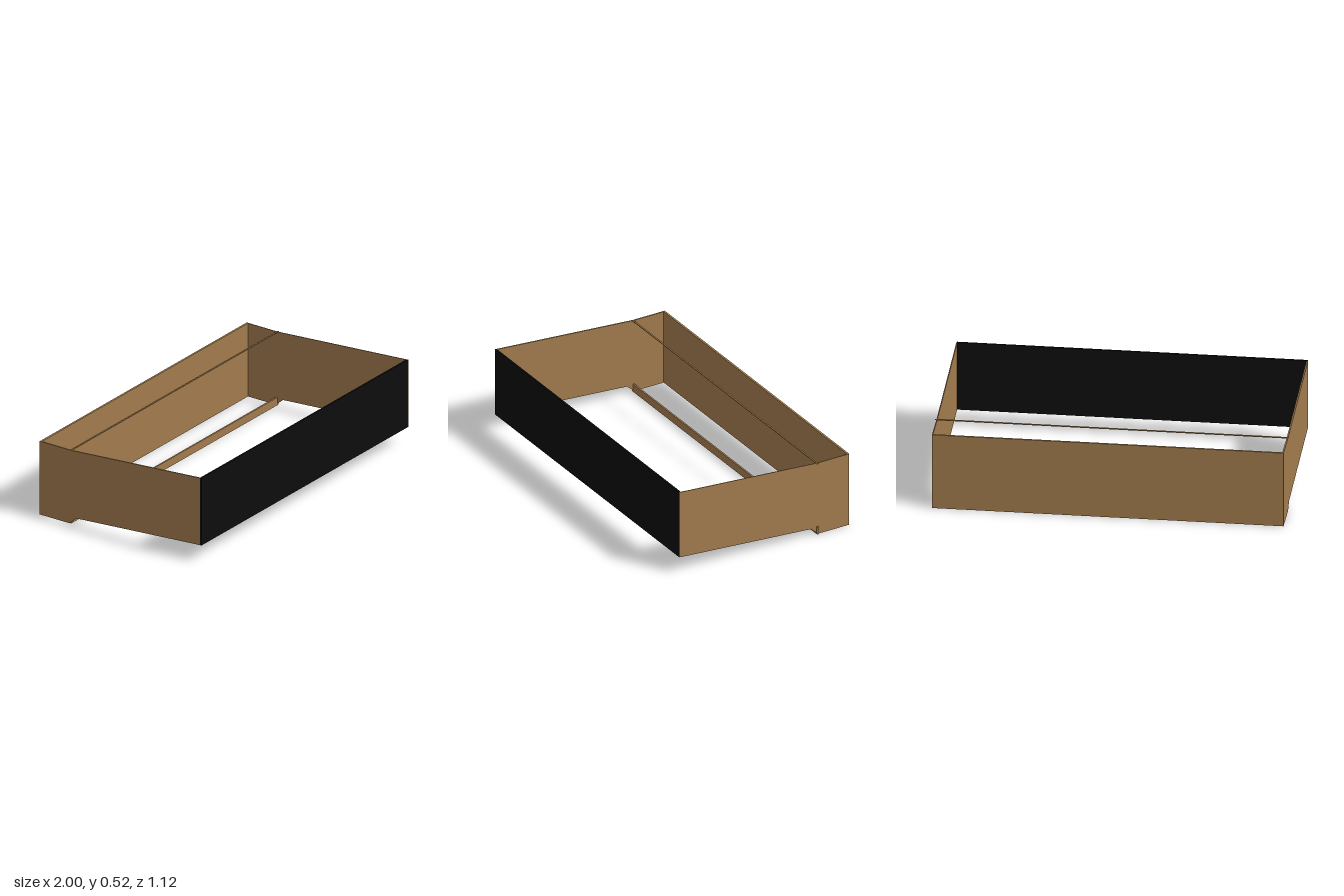
import * as THREE from 'three';

const wood = new THREE.MeshStandardMaterial({ color: 0xa27c4e });
wood.name = 'tan wood';
const black = new THREE.MeshStandardMaterial({ color: 0x0d0d0d });
black.name = 'black front';

// Box given by its minimum and maximum corners
function panel(name, material, [x0, y0, z0], [x1, y1, z1]) {
  const mesh = new THREE.Mesh(new THREE.BoxGeometry(x1 - x0, y1 - y0, z1 - z0), material);
  mesh.position.set((x0 + x1) / 2, (y0 + y1) / 2, (z0 + z1) / 2);
  mesh.name = name;
  return mesh;
}

// Side panel outline in (z, y), extruded along x
function sidePanel(name, x, thickness, frontZ) {
  const outline = [
    [frontZ, 0.104], [-0.307, 0.042], [-0.353, 0], [-0.559, 0],
    [-0.559, 0.452], [-0.348, 0.452], [frontZ, 0.518],
  ];
  const shape = new THREE.Shape(outline.map(([z, y]) => new THREE.Vector2(-z, y)));
  const geometry = new THREE.ExtrudeGeometry(shape, { depth: thickness, bevelEnabled: false });
  geometry.rotateY(Math.PI / 2);
  const mesh = new THREE.Mesh(geometry, wood);
  mesh.position.x = x;
  mesh.name = name;
  return mesh;
}

export function createModel() {
  const group = new THREE.Group();
  group.name = 'openTray';

  // Four walls
  group.add(panel('frontPanel', black, [-1, 0.104, 0.549], [0.989, 0.519, 0.56]));
  group.add(panel('backPanel', wood, [-1, 0, -0.56], [0.989, 0.452, -0.548]));
  group.add(sidePanel('rightSide', -1, 0.008, 0.549));
  group.add(sidePanel('leftSide', 0.988, 0.005, 0.559));

  // Cross rails, flush with the bends in the side panels
  group.add(panel('lowerRail', wood, [-0.998, 0, -0.354], [1, 0.048, -0.344]));
  group.add(panel('upperRail', wood, [-0.998, 0.448, -0.352], [1, 0.453, -0.343]));

  return group;
}
